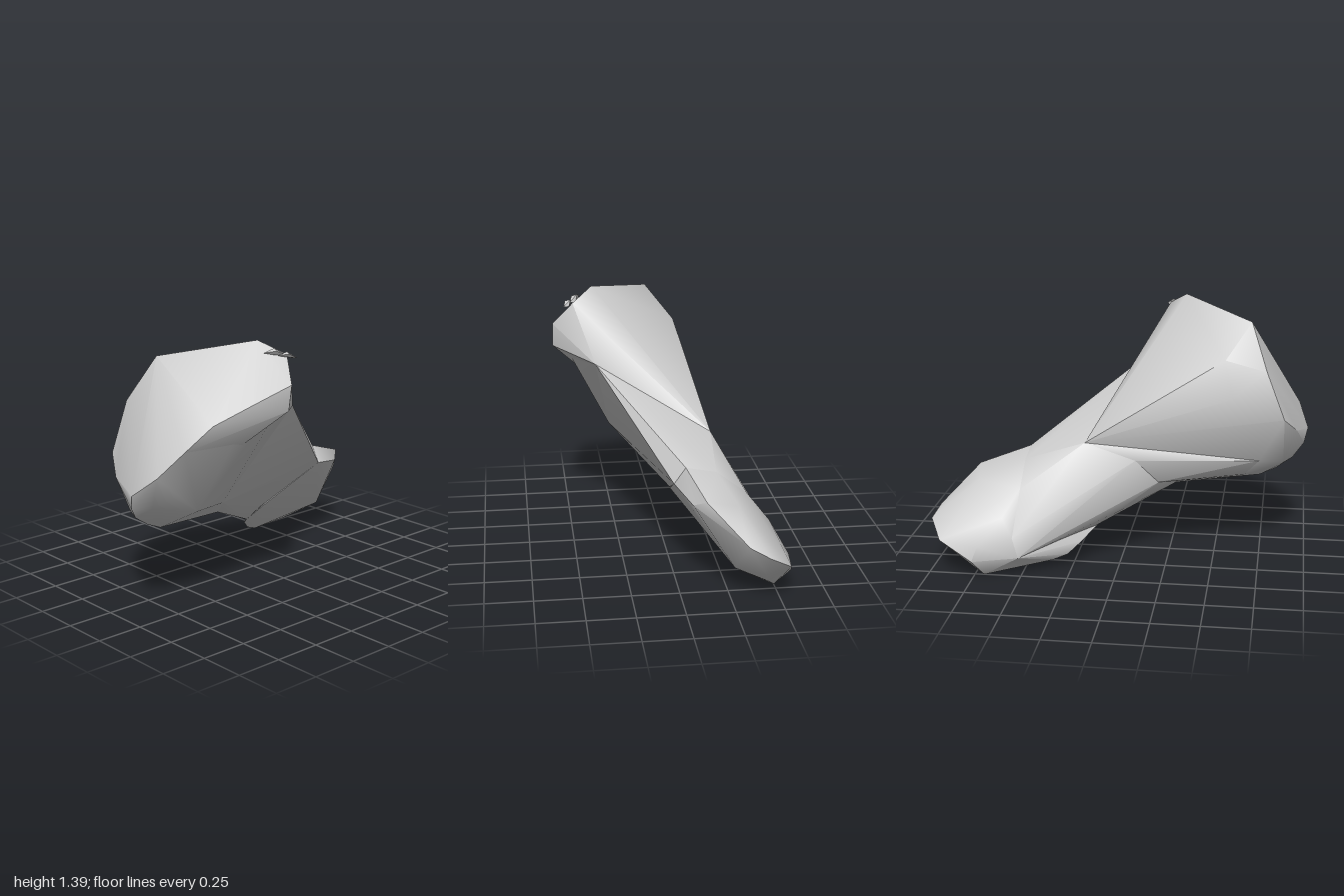
import * as THREE from 'three';
import { ConvexGeometry } from 'three/addons/geometries/ConvexGeometry.js';
import { toCreasedNormals } from 'three/addons/utils/BufferGeometryUtils.js';

const material = new THREE.MeshStandardMaterial({ color: 0xcccccc });

// Corner points shared by neighbouring parts
const shoulder = [-0.24, 0.68, -0.19];
const neckTop = [0.36, 1.01, 0.05];
const neckSide = [0.26, 0.54, 0.45];
const neckLeft = [-0.21, 0.58, 0.08];
const keelFront = [-0.14, 0.44, 0.2];
const throatBase = [0.02, 0.39, 0.28];
const heelTop = [-0.2, 0.2, -0.13];
const browTip = [0.47, 1.32, 0.2];
const cheekTop = [0.58, 1.19, 0.27];
const jaw = [[0.1, 0.43, 0.74], [0, 0.46, 0.66], [-0.06, 0.56, 0.74], [0.26, 0.53, 0.62]];
const faceEdge = [[0.44, 0.92, 0.85], [0.5, 1.04, 0.72], [0.55, 1.12, 0.5]];
const waist = [
  [-0.06, 0.6, -0.52], [0, 0.51, -0.51], [-0.22, 0.57, -0.52],
  [-0.38, 0.45, -0.52], [-0.52, 0.22, -0.54], [-0.52, 0.11, -0.51],
];

// Faceted hull with soft shading across shallow edges
function hull(name, points, crease = 0.7) {
  const vectors = points.map((p) => new THREE.Vector3(...p));
  const mesh = new THREE.Mesh(toCreasedNormals(new ConvexGeometry(vectors), crease), material);
  mesh.name = name;
  return mesh;
}

export function createModel() {
  const group = new THREE.Group();
  group.name = 'clubShapedForm';

  // Broad head with a slanted, almost flat front face
  group.add(hull('head', [
    shoulder, neckTop, neckSide, browTip, cheekTop, ...jaw, ...faceEdge,
    [0.02, 1.31, 0.68], [0.36, 1.39, 0.3], [-0.13, 1.13, 0.55],
    [-0.12, 1.07, 0.77], [-0.12, 0.81, 0.87], [-0.17, 0.93, 0.6],
    [0, 0.72, 0.94], [0.21, 0.68, 1], [0.35, 0.79, 0.95],
    [0.18, 0.6, 0.98], [0.13, 0.53, 0.92], [0.11, 0.47, 0.83],
    [0.26, 0.61, 0.91], [0.21, 0.53, 0.83], [0.02, 0.53, 0.87],
    [0.32, 0.67, 0.8],
  ]));

  // Corner bulge on the side of the head
  group.add(hull('cheek', [
    neckTop, browTip, cheekTop, ...faceEdge, [0.58, 1.06, 0.29], [0.41, 0.86, 0.5],
  ]));

  // Underside blending the head into the shaft
  group.add(hull('throat', [
    shoulder, neckTop, neckSide, neckLeft, keelFront, throatBase, ...jaw,
  ]));

  // Shaft tapering back and down from the head
  group.add(hull('shaft', [
    shoulder, neckTop, neckSide, neckLeft, keelFront, throatBase, heelTop, ...waist,
    [-0.22, 0.28, -0.03], [-0.1, 0.29, 0.04], [-0.03, 0.33, -0.08],
  ]));

  // Rounded, slightly swollen tail end
  group.add(hull('tail', [
    heelTop, ...waist, [-0.3, 0.14, -0.2], [-0.35, 0.08, -0.27], [-0.37, 0.05, -0.35],
    [-0.03, 0.33, -0.1],
    [-0.07, 0.47, -0.72], [-0.13, 0.51, -0.79], [-0.3, 0.47, -0.76],
    [-0.49, 0.32, -0.6], [-0.57, 0.18, -0.72], [-0.58, 0.1, -0.75],
    [-0.28, 0.14, -0.78], [-0.5, 0, -0.7], [-0.45, 0.07, -0.81],
    [-0.42, 0.15, -0.9], [-0.54, 0.2, -0.93], [-0.42, 0.28, -1],
    [-0.32, 0.33, -0.97], [-0.3, 0.41, -0.88],
  ]));

  // Tiny crumpled chip on the head's upper corner
  const chip = new THREE.Group();
  chip.name = 'chip';
  for (const [x, y, z, s] of [[0.45, 1.335, 0.26, 1], [0.49, 1.32, 0.21, 0.85]]) {
    chip.add(hull('chipShard', [
      [x - 0.025 * s, y, z + 0.06 * s], [x + 0.035 * s, y - 0.015, z - 0.04 * s],
      [x - 0.01, y + 0.02 * s, z], [x + 0.02, y + 0.01, z + 0.01], [x, y - 0.02 * s, z - 0.02],
    ], 0.1));
  }
  group.add(chip);

  return group;
}
